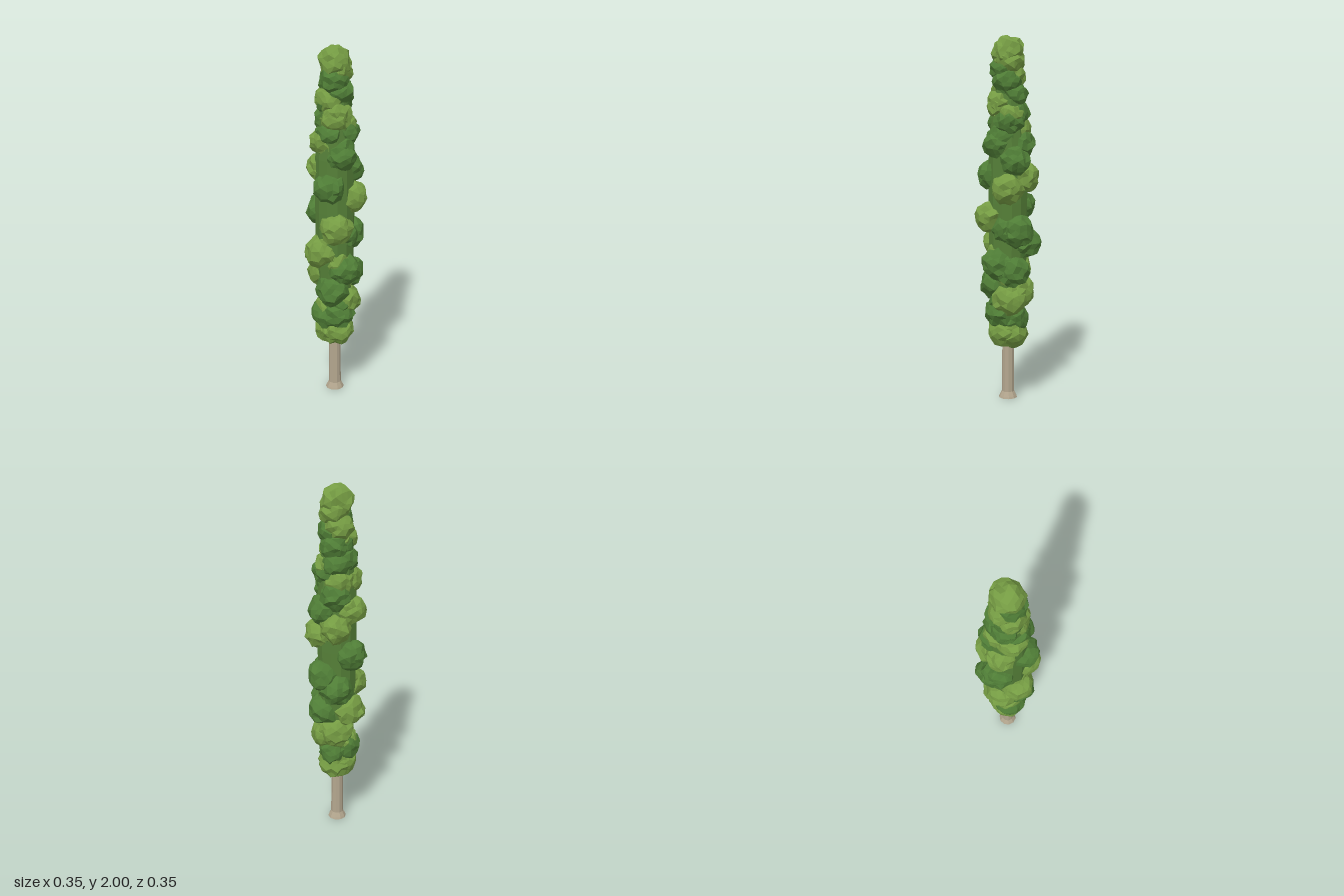
import * as THREE from 'three';

const leaf = (color) => new THREE.MeshStandardMaterial({ color, flatShading: true });
const DARK = leaf(0x4f7d36);
const LIGHT = leaf(0x759c43);
const CORE = leaf(0x557f38);
const BARK = leaf(0xb3a68e);

// Repeatable value in 0..1 for a point, so shared corners move together
function hash(x, y, z, seed) {
  const s = Math.sin(Math.round(x * 1000) * 12.9898 + Math.round(y * 1000) * 78.233
    + Math.round(z * 1000) * 37.719 + seed * 4.1414) * 43758.5453;
  return s - Math.floor(s);
}

// Faceted ball of leaves with uneven corners
function clumpGeometry(r, seed) {
  const geo = new THREE.IcosahedronGeometry(1, 2);
  const p = geo.attributes.position;
  const v = new THREE.Vector3();
  for (let i = 0; i < p.count; i++) {
    v.fromBufferAttribute(p, i);
    const { x, y, z } = v;
    const slide = (n) => 0.14 * (hash(x, y, z, seed + n) - 0.5);
    v.set(x + slide(11), y + slide(23), z + slide(37)).normalize();
    v.multiplyScalar(r * (0.86 + 0.24 * hash(x, y, z, seed)));
    p.setXYZ(i, v.x, v.y, v.z);
  }
  geo.rotateY(seed * 1.7);
  geo.computeVertexNormals();
  geo.computeBoundingBox();
  return geo;
}

// Distance of a clump from the axis: widest at mid height, narrow at both ends
const reach = (y) => 0.09 * Math.sin(Math.PI * (y - 0.3) / 1.5);

// Main clumps as height, angle in degrees from the front, shade (1 = light)
const mainClumps = [
  [0.48, -30, 0], [0.49, 75, 0], [0.57, 143, 1], [0.61, 222, 1],
  [0.65, 38, 0], [0.73, -70, 1], [0.77, 95, 0], [0.73, 160, 0],
  [0.87, -8, 1], [0.88, 225, 0], [0.95, 175, 0], [1.02, 57, 1],
  [1.08, -80, 0], [1.18, 138, 1], [1.25, 33, 0], [1.24, 222, 1],
  [1.33, -70, 1], [1.33, 165, 0], [1.42, 82, 0], [1.42, 222, 0],
  [1.49, -20, 1], [1.54, 145, 0], [1.62, 60, 1], [1.59, 225, 0], [1.70, -40, 0],
];

function lathe(name, profile, sides, material) {
  const points = profile.map(([r, y]) => new THREE.Vector2(r, y));
  const mesh = new THREE.Mesh(new THREE.LatheGeometry(points, sides), material);
  mesh.name = name;
  return mesh;
}

export function createModel() {
  const tree = new THREE.Group();
  tree.name = 'columnarTree';

  // Trunk with a flared foot, running up into the foliage
  tree.add(lathe('trunk',
    [[0, 0], [0.052, 0], [0.048, 0.01], [0.035, 0.036], [0.032, 0.45], [0, 0.45]], 10, BARK));

  // Solid foliage column behind the clumps
  tree.add(lathe('foliageCore',
    [[0, 0.36], [0.06, 0.38], [0.085, 0.5], [0.104, 0.8], [0.108, 1.1],
      [0.106, 1.4], [0.085, 1.65], [0.06, 1.82], [0, 1.88]], 12, CORE));

  const foliage = new THREE.Group();
  foliage.name = 'foliage';
  tree.add(foliage);

  function addClump(y, degrees, out, r, light) {
    const seed = foliage.children.length + 1;
    const clump = new THREE.Mesh(clumpGeometry(r, seed), light ? LIGHT : DARK);
    clump.name = 'leafClump' + seed;
    const a = THREE.MathUtils.degToRad(degrees);
    clump.position.set(out * Math.sin(a), y, out * Math.cos(a));
    foliage.add(clump);
    return clump;
  }

  // Spiral of clumps set close to the axis between two heights
  function addSpiral(count, [y0, y1], [out0, out1], r, start) {
    for (let i = 0; i < count; i++) {
      const t = i / (count - 1);
      addClump(THREE.MathUtils.lerp(y0, y1, t), start + i * 137.5,
        THREE.MathUtils.lerp(out0, out1, t), r, i % 2);
    }
  }

  // Protruding clumps around the column, smaller towards the top
  for (const [y, degrees, light] of mainClumps) {
    addClump(y, degrees, reach(y), 0.104 - 0.014 * y, light);
  }

  // Fill between them in the lower and upper column
  addSpiral(11, [0.46, 0.96], [0.035, 0.05], 0.082, 190);
  addSpiral(12, [1.46, 1.86], [0.046, 0.016], 0.08, 100);

  // Ring closing the underside
  for (let i = 0; i < 3; i++) addClump(0.385, 80 + i * 120, 0.018, 0.094, true);

  // Tip clump, its highest corner at the full height
  const tip = addClump(0, 0, 0, 0.088, true);
  tip.position.y = 2 - tip.geometry.boundingBox.max.y;
  return tree;
}
